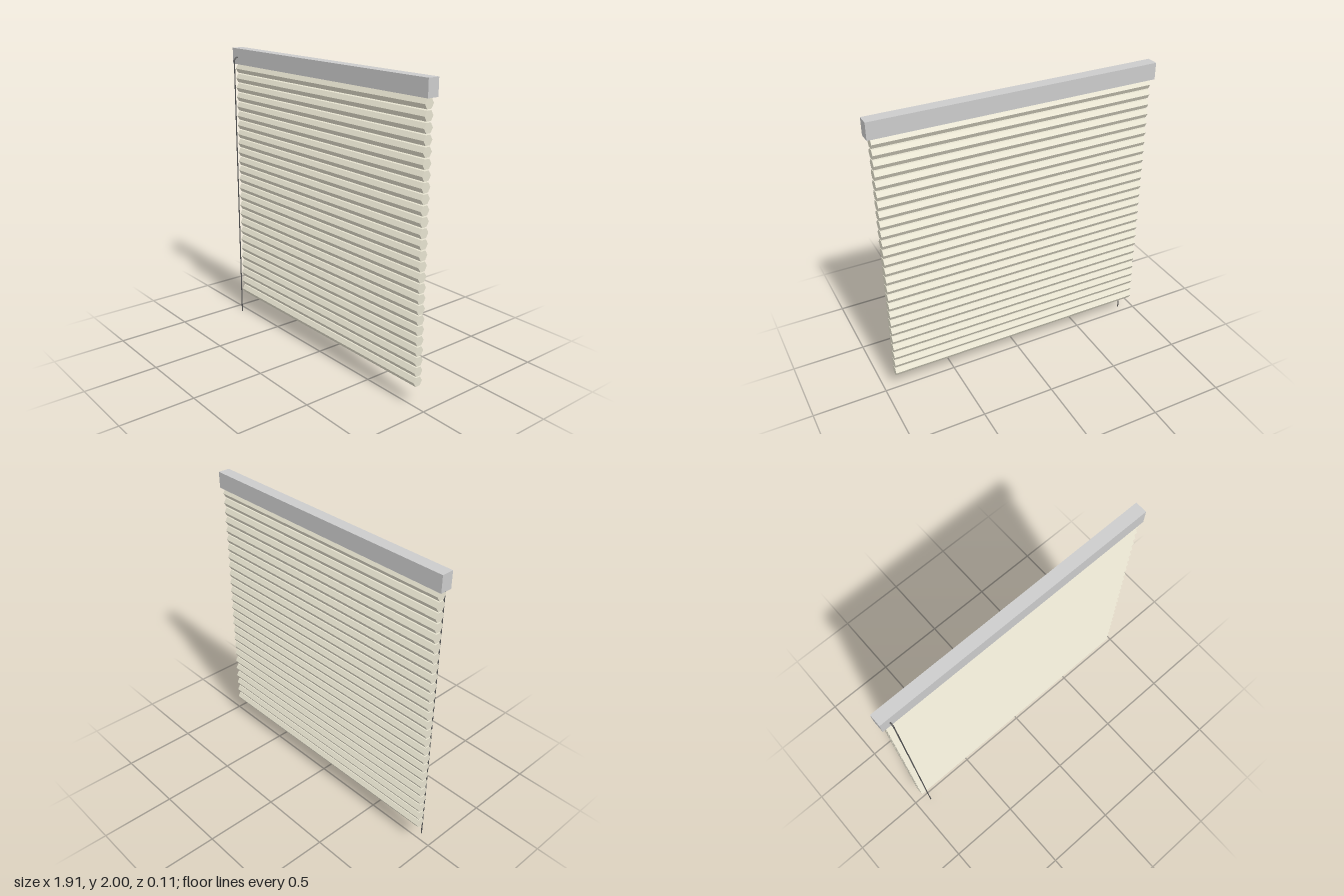
import * as THREE from 'three';

export function createModel() {
  const group = new THREE.Group();
  const railMat = new THREE.MeshStandardMaterial({ color: 0xcccccc });
  const fabricMat = new THREE.MeshStandardMaterial({ color: 0xe6e2cf, flatShading: true });
  const wandMat = new THREE.MeshStandardMaterial({ color: 0x555555 });

  const add = (name, geometry, material, x, y, z) => {
    const mesh = new THREE.Mesh(geometry, material);
    mesh.name = name;
    mesh.position.set(x, y, z);
    group.add(mesh);
    return mesh;
  };

  // Head rail
  const midZ = -0.015;
  add('headRail', new THREE.BoxGeometry(1.91, 0.11, 0.08), railMat, 0, 1.945, midZ);

  // Stack of hexagonal fabric cells, flat faces up and down
  const cells = 26, bottomY = 0.168, pitch = 0.0675;
  const cellGeo = new THREE.CylinderGeometry(0.0345, 0.0345, 1.86, 6);
  cellGeo.rotateZ(Math.PI / 2);
  for (let i = 0; i < cells; i++) {
    add('cell', cellGeo, fabricMat, 0, bottomY + i * pitch, midZ);
  }

  // Hanging control wand
  const wandX = -0.897, wandZ = 0.051, wandTop = 1.92;
  add('wand', new THREE.CylinderGeometry(0.004, 0.004, wandTop, 12), wandMat, wandX, wandTop / 2, wandZ);

  // Bent hook joining the wand to the rail
  const hook = new THREE.CatmullRomCurve3([
    new THREE.Vector3(0, 1.9, wandZ),
    new THREE.Vector3(0, 1.92, wandZ),
    new THREE.Vector3(0, 1.936, 0.036),
    new THREE.Vector3(0, 1.94, 0.02),
  ]);
  add('wandHook', new THREE.TubeGeometry(hook, 16, 0.0045, 10), wandMat, wandX, 0, 0);

  return group;
}
